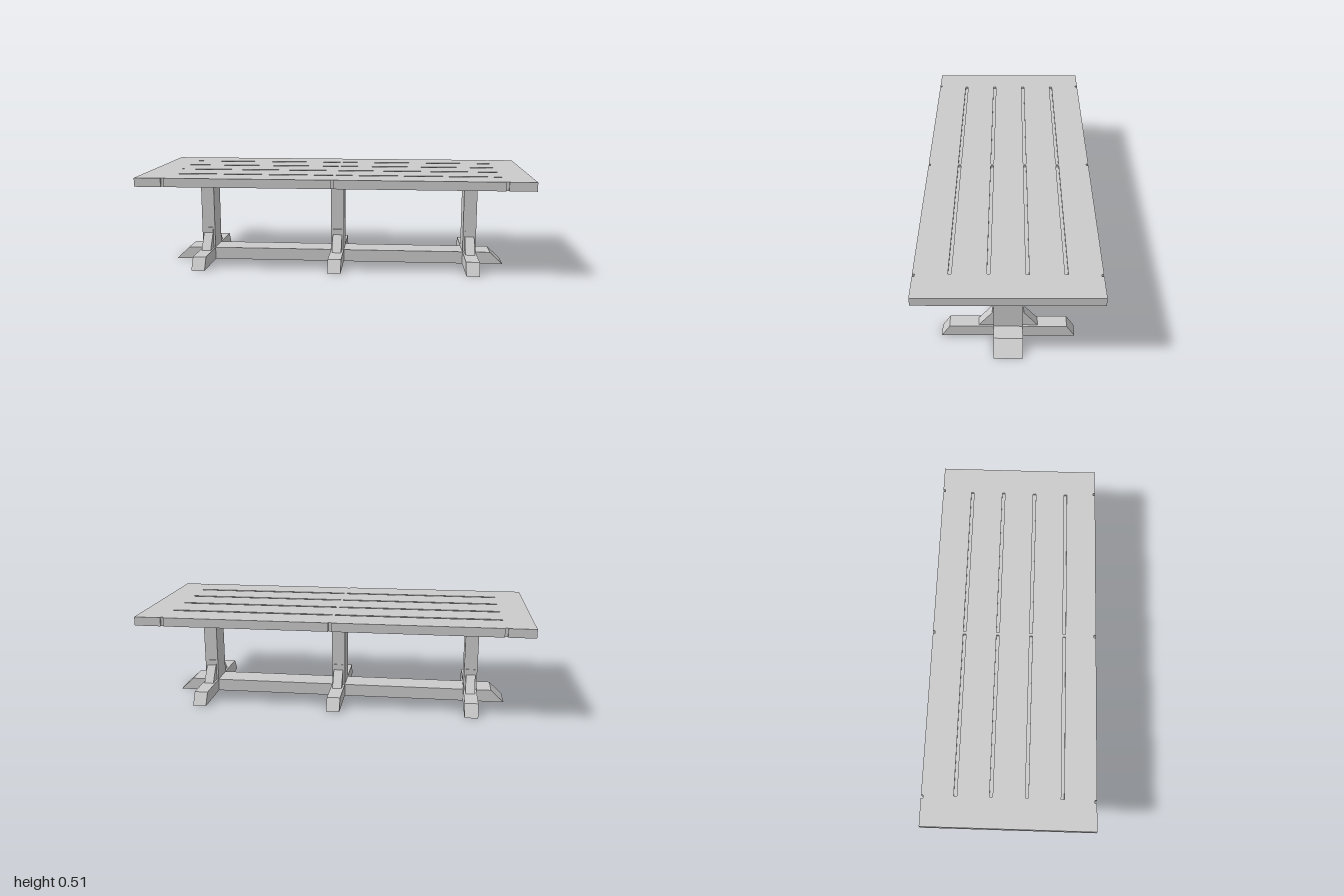
import * as THREE from 'three';

const material = new THREE.MeshStandardMaterial({ color: 0xcccccc, flatShading: true });

function box(parent, name, [w, h, d], [x, y, z]) {
  const mesh = new THREE.Mesh(new THREE.BoxGeometry(w, h, d), material);
  mesh.name = name;
  mesh.position.set(x, y, z);
  parent.add(mesh);
  return mesh;
}

// Side profile in x/y, extruded to a thickness centred on z = 0
function profile(parent, name, points, thickness) {
  const shape = new THREE.Shape(points.map(([x, y]) => new THREE.Vector2(x, y)));
  const geometry = new THREE.ExtrudeGeometry(shape, { depth: thickness, bevelEnabled: false });
  geometry.translate(0, 0, -thickness / 2);
  const mesh = new THREE.Mesh(geometry, material);
  mesh.name = name;
  parent.add(mesh);
  return mesh;
}

export function createModel() {
  const table = new THREE.Group();
  table.name = 'trestleTable';

  // Tabletop: planks with shallow grooves between them, over a thinner core
  const top = new THREE.Group();
  top.name = 'tabletop';
  table.add(top);
  const halfDepth = 0.427, bottom = 0.461, thick = 0.045, mid = bottom + thick / 2;
  const seamX = 0.857, gap = 0.015, plankPitch = (2 * halfDepth + gap) / 5;
  const plankLength = seamX - gap;
  box(top, 'core', [2 * seamX, thick - 0.02, 2 * halfDepth - 0.03], [0, mid, 0]);
  for (const side of [-1, 1]) {
    const endWidth = 1 - seamX - gap / 2;
    box(top, 'endBoard', [endWidth, thick, 2 * halfDepth], [side * (1 - endWidth / 2), mid, 0]);
    for (let i = -2; i <= 2; i++) {
      box(top, 'plank', [plankLength, thick, plankPitch - gap], [side * seamX / 2, mid, i * plankPitch]);
    }
  }
  // Flush cross strips, stopping short of the long edges to leave small notches
  for (const x of [-seamX, 0, seamX]) {
    box(top, 'crossStrip', [gap, thick, 2 * (halfDepth - 0.011)], [x, mid, 0]);
  }

  // Long base beam with sloped ends
  const beamTop = 0.065;
  profile(table, 'baseBeam', [[-0.9, 0], [0.9, 0], [0.83, beamTop], [-0.83, beamTop]], 0.142);

  // Three trestles: post, cross foot and a brace on each side
  for (const x of [-0.717, 0, 0.717]) {
    const trestle = new THREE.Group();
    trestle.name = 'trestle';
    trestle.position.x = x;
    table.add(trestle);
    box(trestle, 'post', [0.07, bottom - beamTop, 0.142], [0, (bottom + beamTop) / 2, 0]);
    const foot = profile(trestle, 'foot',
      [[-0.328, 0], [0.328, 0], [0.287, beamTop], [-0.287, beamTop]], 0.07);
    foot.rotation.y = Math.PI / 2;
    for (const side of [-1, 1]) {
      const brace = profile(trestle, 'brace',
        [[0.06, beamTop], [0.144, beamTop], [0.077, 0.15], [0.077, 0.18], [0.06, 0.18]], 0.05);
      brace.rotation.y = side * Math.PI / 2;
    }
  }
  return table;
}
